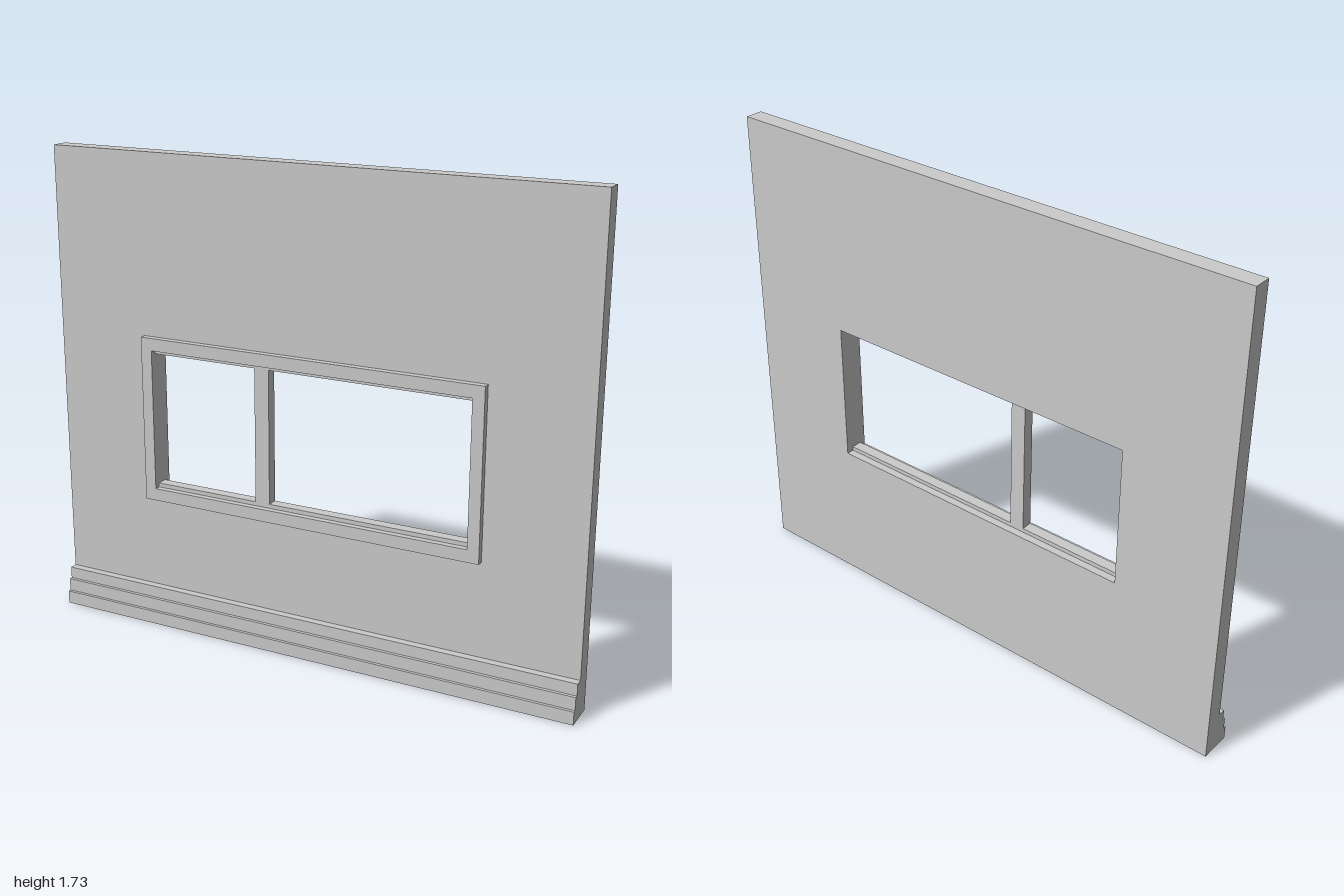
import * as THREE from 'three';

const material = new THREE.MeshStandardMaterial({ color: 0xcccccc, flatShading: true });
const BACK = -0.058, WALL_FRONT = 0.007;
const OPENING = [-0.603, 0.603, 0.525, 1.04];

function add(group, name, geometry) {
  const mesh = new THREE.Mesh(geometry, material);
  mesh.name = name;
  group.add(mesh);
}

// Box given by its limits on each axis
function block(x0, x1, y0, y1, z0, z1) {
  return new THREE.BoxGeometry(x1 - x0, y1 - y0, z1 - z0)
    .translate((x0 + x1) / 2, (y0 + y1) / 2, (z0 + z1) / 2);
}

function rectangle(path, x0, x1, y0, y1) {
  path.moveTo(x0, y0);
  path.lineTo(x1, y0);
  path.lineTo(x1, y1);
  path.lineTo(x0, y1);
  path.closePath();
  return path;
}

// Rectangular panel pierced by the window opening
function piercedPanel(x0, x1, y0, y1, z0, z1) {
  const shape = rectangle(new THREE.Shape(), x0, x1, y0, y1);
  shape.holes.push(rectangle(new THREE.Path(), ...OPENING));
  return new THREE.ExtrudeGeometry(shape, { depth: z1 - z0, bevelEnabled: false }).translate(0, 0, z0);
}

export function createModel() {
  const model = new THREE.Group();
  model.name = 'windowWall';
  const [left, right, bottom, top] = OPENING;

  // Wall and raised window surround
  add(model, 'wall', piercedPanel(-1, 1, 0, 1.73, BACK, WALL_FRONT));
  add(model, 'windowSurround', piercedPanel(-0.645, 0.645, 0.48, 1.085, WALL_FRONT, 0.032));

  // Thin rails and off-centre mullion, recessed in the opening
  const z0 = -0.03, z1 = 0.01, rail = 0.015;
  add(model, 'bottomRail', block(left, right, bottom, bottom + rail, z0, z1));
  add(model, 'topRail', block(left, right, top - rail, top, z0, z1));
  add(model, 'mullion', block(-0.2, -0.145, bottom + rail, top - rail, z0, z1));

  // Stepped skirting along the foot of the wall
  const profile = [[WALL_FRONT, 0], [0.058, 0], [0.058, 0.048], [0.047, 0.048],
    [0.047, 0.095], [0.035, 0.095], [0.035, 0.138], [WALL_FRONT, 0.138]];
  const skirting = new THREE.Shape(profile.map(([z, y]) => new THREE.Vector2(-z, y)));
  add(model, 'skirting', new THREE.ExtrudeGeometry(skirting, { depth: 2, bevelEnabled: false })
    .translate(0, 0, -1).rotateY(Math.PI / 2));

  return model;
}
